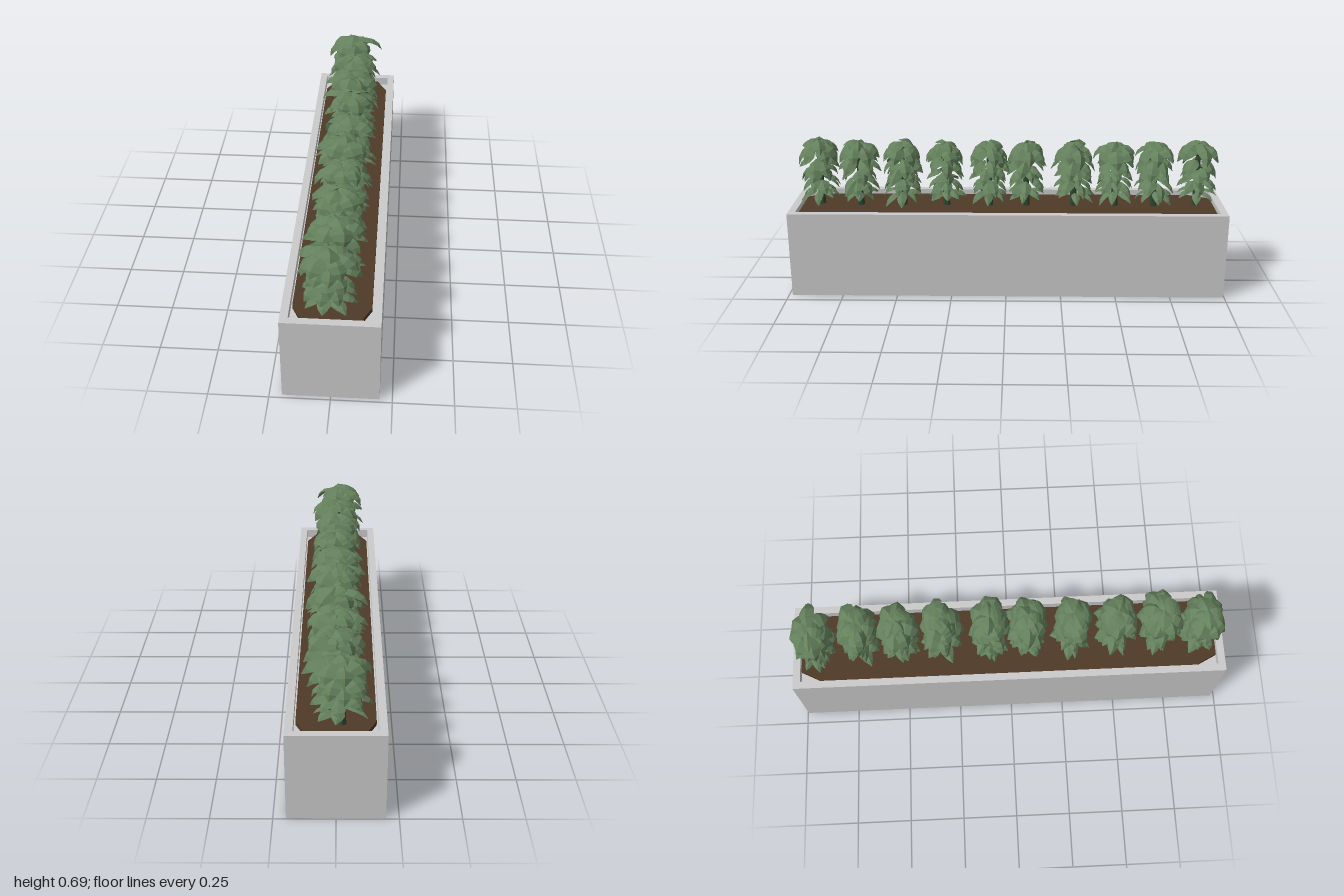
import * as THREE from 'three';
import { mergeGeometries } from 'three/addons/utils/BufferGeometryUtils.js';

const grey = new THREE.MeshStandardMaterial({ color: 0xcccccc, flatShading: true });
const soilMat = new THREE.MeshStandardMaterial({ color: 0x4f3a28, flatShading: true });
const stemMat = new THREE.MeshStandardMaterial({ color: 0x2f4630, flatShading: true });
const leafMat = new THREE.MeshStandardMaterial({ color: 0x64805c, flatShading: true, side: THREE.DoubleSide });

// small seeded random generator
function seeded(seed) {
  let s = seed;
  return (a = 0, b = 1) => {
    s = (s * 16807) % 2147483647;
    return a + (b - a) * (s / 2147483647);
  };
}

function polygon(points) {
  return new THREE.Shape(points.map(([x, y]) => new THREE.Vector2(x, y)));
}

function rect(hx, hz) {
  return [[-hx, -hz], [hx, -hz], [hx, hz], [-hx, hz]];
}

// flat outline in x/z raised from y0 to y1
function slab(shape, y0, y1) {
  const g = new THREE.ExtrudeGeometry(shape, { depth: y1 - y0, bevelEnabled: false });
  return g.rotateX(-Math.PI / 2).translate(0, y0, 0);
}

// leaf arching along +x: three points per cross-section, edges folded down
function leaf(length, halfWidth, rise, droop) {
  const widths = [0.3, 0.95, 1, 0.7, 0.08];
  const pos = [], index = [];
  let x = 0, y = 0;
  widths.forEach((k, i) => {
    const w = halfWidth * k, a = rise - droop * (i / 4);
    const fold = w * 0.45;
    pos.push(x - fold * Math.sin(-a), y - fold * Math.cos(a), w);
    pos.push(x, y, 0);
    pos.push(x - fold * Math.sin(-a), y - fold * Math.cos(a), -w);
    const mid = a - droop / 8;
    x += Math.cos(mid) * length / 4;
    y += Math.sin(mid) * length / 4;
    if (i < 4) {
      for (let j = 0; j < 2; j++) {
        const p = i * 3 + j;
        index.push(p, p + 3, p + 1, p + 1, p + 3, p + 4);
      }
    }
  });
  const g = new THREE.BufferGeometry();
  g.setAttribute('position', new THREE.Float32BufferAttribute(pos, 3));
  g.setIndex(index);
  return g.toNonIndexed();
}

// leaf tiers from the crown down to the soil
const tiers = [
  { n: 4, y: 0.683, r: 0.0, len: 0.10, w: 0.042, rise: 0.3, droop: 1.4 },
  { n: 8, y: 0.665, r: 0.02, len: 0.135, w: 0.042, rise: 0.35, droop: 2.0 },
  { n: 7, y: 0.61, r: 0.025, len: 0.12, w: 0.035, rise: 0.2, droop: 1.7 },
  { n: 7, y: 0.56, r: 0.02, len: 0.11, w: 0.033, rise: 0.3, droop: 1.8 },
  { n: 8, y: 0.51, r: 0.025, len: 0.11, w: 0.03, rise: 0.2, droop: 1.7 },
  { n: 7, y: 0.455, r: 0.025, len: 0.10, w: 0.026, rise: 0.35, droop: 1.5 },
];

function makePlant(seed) {
  const rnd = seeded(seed);
  const plant = new THREE.Group();
  plant.name = 'plant';
  const leaves = [];
  for (const t of tiers) {
    const start = rnd(0, Math.PI * 2);
    for (let i = 0; i < t.n; i++) {
      const k = rnd(0.85, 1.1);
      const g = leaf(t.len * k, t.w * rnd(0.85, 1.15), t.rise + rnd(-0.15, 0.15), t.droop + rnd(-0.2, 0.2));
      g.rotateX(rnd(-0.3, 0.3));
      g.translate(t.r, t.y + rnd(-0.012, 0.005), 0);
      g.rotateY(start + (i + rnd(-0.25, 0.25)) * Math.PI * 2 / t.n);
      leaves.push(g);
    }
  }
  // bushes are wider across the planter than along it
  const foliageGeo = mergeGeometries(leaves).scale(1.12, 1, 0.84);
  foliageGeo.computeVertexNormals();
  const foliage = new THREE.Mesh(foliageGeo, leafMat);
  foliage.name = 'foliage';
  const stem = new THREE.Mesh(new THREE.CylinderGeometry(0.01, 0.017, 0.31, 6), stemMat);
  stem.name = 'stem';
  stem.position.set(-0.01, 0.515, 0);
  plant.add(foliage, stem);
  return plant;
}

export function createModel() {
  const model = new THREE.Group();
  model.name = 'planterWithShrubs';

  // hollow planter box
  const planter = new THREE.Group();
  planter.name = 'planter';
  planter.position.z = -0.006;
  const wallShape = polygon(rect(0.198, 0.99));
  wallShape.holes.push(polygon(rect(0.165, 0.957)));
  const walls = new THREE.Mesh(slab(wallShape, 0, 0.396), grey);
  walls.name = 'planterWalls';
  const base = new THREE.Mesh(slab(polygon(rect(0.165, 0.957)), 0, 0.355), grey);
  base.name = 'planterBase';

  // soil bed with clipped corners
  const sx = 0.158, sz = 0.955, cx = 0.11, cz = 0.86;
  const soilShape = polygon([[-cx, -sz], [cx, -sz], [sx, -cz], [sx, cz], [cx, sz], [-cx, sz], [-sx, cz], [-sx, -cz]]);
  const soil = new THREE.Mesh(slab(soilShape, 0.35, 0.375), soilMat);
  soil.name = 'soil';
  planter.add(walls, base, soil);
  model.add(planter);

  // row of shrubs
  [-0.88, -0.68, -0.5, -0.31, -0.09, 0.08, 0.28, 0.48, 0.68, 0.865].forEach((z, i) => {
    const plant = makePlant(1234 + i * 7919);
    plant.position.set(i === 0 || i === 9 ? -0.015 : 0.002, 0, z);
    model.add(plant);
  });
  return model;
}
